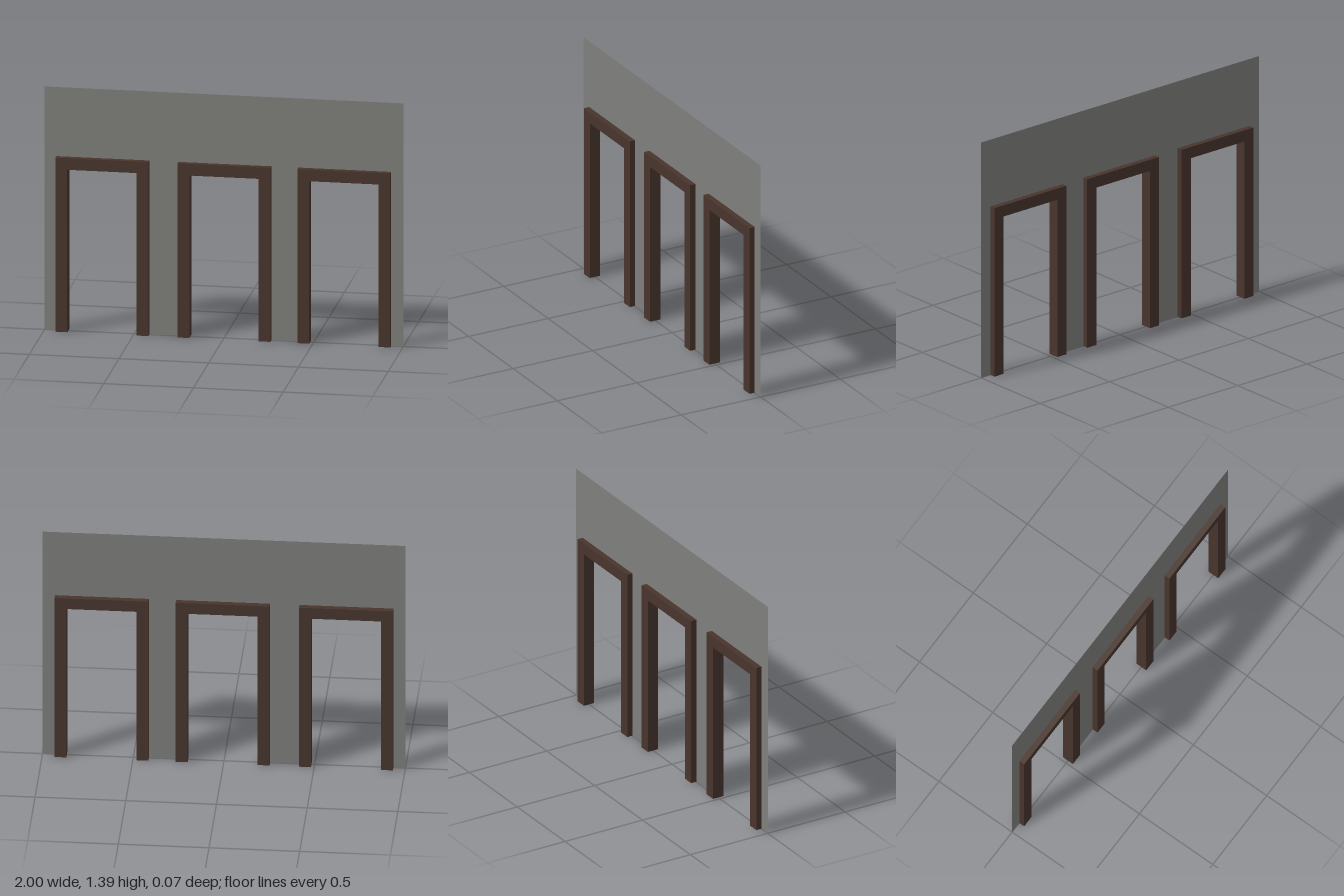
import * as THREE from 'three';

const WALL_H = 1.39;   // wall height, width is 2
const FRAME_H = 0.995; // frame height
const FRAME_W = 0.518; // frame outer width
const BAR = 0.066;     // square section of the frame bars
const CENTERS = [-0.675, 0.005, 0.673];

// Outline from a list of [x, y] corners
function outline(points) {
  return new THREE.Shape(points.map(([x, y]) => new THREE.Vector2(x, y)));
}

export function createModel() {
  const group = new THREE.Group();
  const wallGrey = new THREE.MeshStandardMaterial({ color: 0x7f7f7c, side: THREE.DoubleSide });
  wallGrey.name = 'wallGrey';
  const darkWood = new THREE.MeshStandardMaterial({ color: 0x48352d });
  darkWood.name = 'darkWood';

  // Thin wall, notched at each doorway; the cut edge is buried in the frame
  const half = FRAME_W / 2 - BAR / 2;
  const top = FRAME_H - BAR / 2;
  const corners = [[-1, 0]];
  for (const c of CENTERS) {
    corners.push([c - half, 0], [c - half, top], [c + half, top], [c + half, 0]);
  }
  corners.push([1, 0], [1, WALL_H], [-1, WALL_H]);
  const wall = new THREE.Mesh(new THREE.ShapeGeometry(outline(corners)), wallGrey);
  wall.name = 'wall';
  group.add(wall);

  // Door frames: two posts and a lintel as one extruded outline
  const w = FRAME_W / 2;
  const i = w - BAR;
  const frameShape = outline([
    [-w, 0], [-i, 0], [-i, FRAME_H - BAR], [i, FRAME_H - BAR],
    [i, 0], [w, 0], [w, FRAME_H], [-w, FRAME_H],
  ]);
  const frameGeometry = new THREE.ExtrudeGeometry(frameShape, { depth: BAR, bevelEnabled: false });
  frameGeometry.translate(0, 0, -BAR / 2);
  ['rightDoorFrame', 'middleDoorFrame', 'leftDoorFrame'].forEach((name, k) => {
    const frame = new THREE.Mesh(frameGeometry, darkWood);
    frame.name = name;
    frame.position.x = CENTERS[k];
    group.add(frame);
  });

  return group;
}
